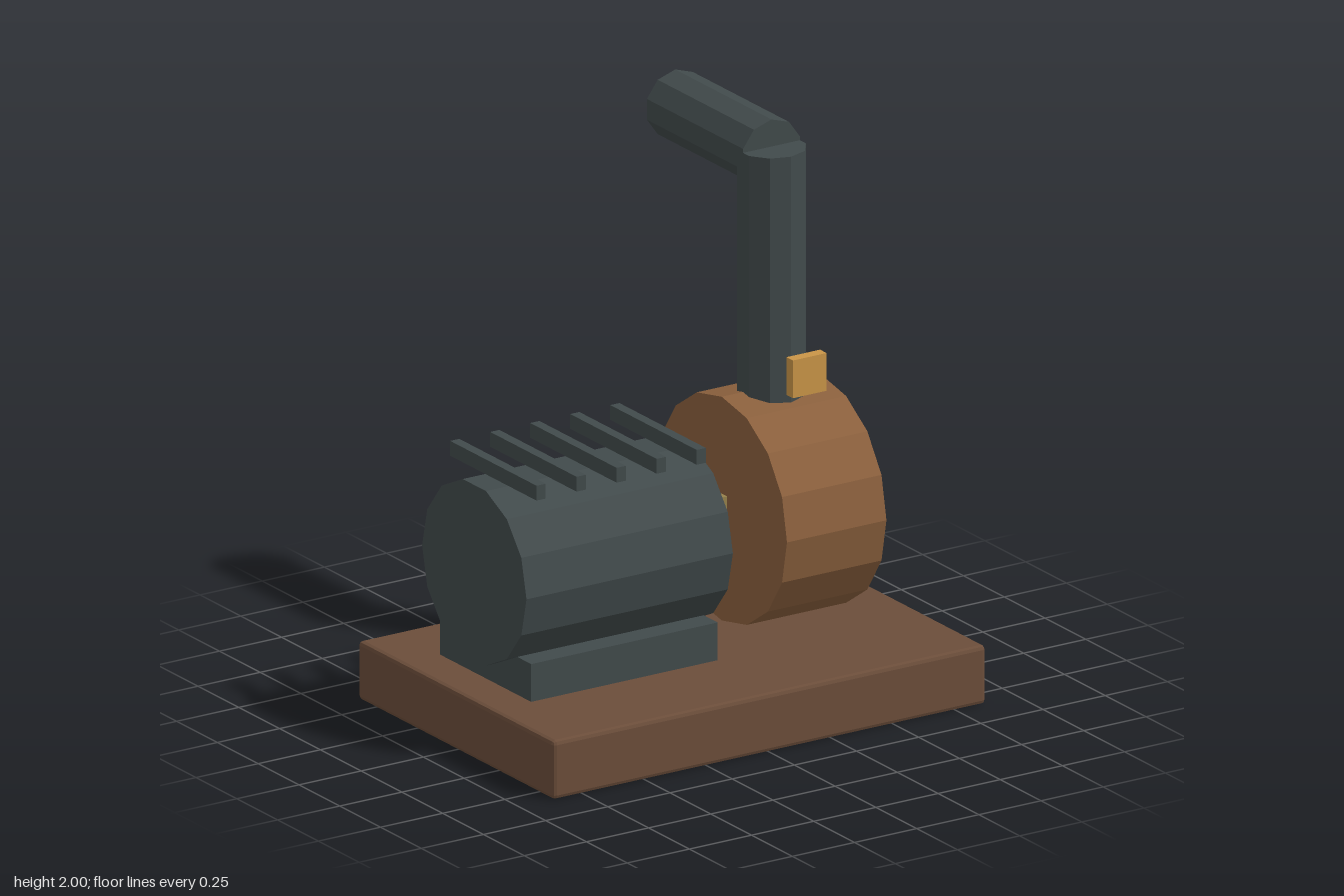
import * as THREE from 'three';
import { RoundedBoxGeometry } from 'three/addons/geometries/RoundedBoxGeometry.js';

function flat(name, color) {
  const m = new THREE.MeshStandardMaterial({ color, flatShading: true });
  m.name = name;
  return m;
}

export function createModel() {
  const model = new THREE.Group();
  model.name = 'pumpUnit';

  const iron = flat('dark iron', 0x414a4b);
  const copper = flat('copper brown', 0x8b603d);
  const wood = flat('base brown', 0x6b4d3a);
  const brass = flat('dull brass', 0x96814b);
  const amber = flat('amber', 0xc99547);

  function add(name, geometry, material, x, y, z) {
    const mesh = new THREE.Mesh(geometry, material);
    mesh.name = name;
    mesh.position.set(x, y, z);
    model.add(mesh);
    return mesh;
  }
  const box = (name, mat, w, h, d, x, y, z) =>
    add(name, new THREE.BoxGeometry(w, h, d), mat, x, y, z);

  // Faceted cylinder lying along the given axis
  function drum(name, mat, radius, length, sides, axis, x, y, z) {
    const g = new THREE.CylinderGeometry(radius, radius, length, sides);
    if (axis === 'x') g.rotateZ(Math.PI / 2);
    if (axis === 'z') g.rotateX(Math.PI / 2);
    return add(name, g, mat, x, y, z);
  }

  // Base slab with chamfered edges
  add('base', new RoundedBoxGeometry(1.74, 0.21, 1.2, 1, 0.015), wood, 0, 0.105, 0);

  // Motor with foot and cooling fins
  box('motorFoot', iron, 0.75, 0.135, 0.56, -0.375, 0.3, 0);
  drum('motorBody', iron, 0.32, 0.83, 14, 'x', -0.38, 0.62, 0);
  for (let i = 0; i < 5; i++) {
    box('coolingFin' + (i + 1), iron, 0.037, 0.053, 0.53, -0.7 + i * 0.161, 0.968, 0);
  }

  // Coupling and pump casing
  box('coupling', brass, 0.11, 0.24, 0.235, 0.09, 0.62, 0);
  drum('pumpCasing', copper, 0.4, 0.4, 16, 'x', 0.4, 0.65, 0);

  // Suction and discharge pipes
  drum('suctionPipe', iron, 0.15, 0.4, 10, 'z', 0.4, 0.54, -0.4);
  drum('dischargeRiser', iron, 0.12, 0.9, 10, 'y', 0.4, 1.455, 0);
  drum('dischargeOutlet', iron, 0.12, 0.59, 10, 'z', 0.4, 1.882, -0.295);

  // Gauge plate in front of the riser
  box('gauge', amber, 0.135, 0.135, 0.04, 0.4, 1.157, 0.215);

  return model;
}
